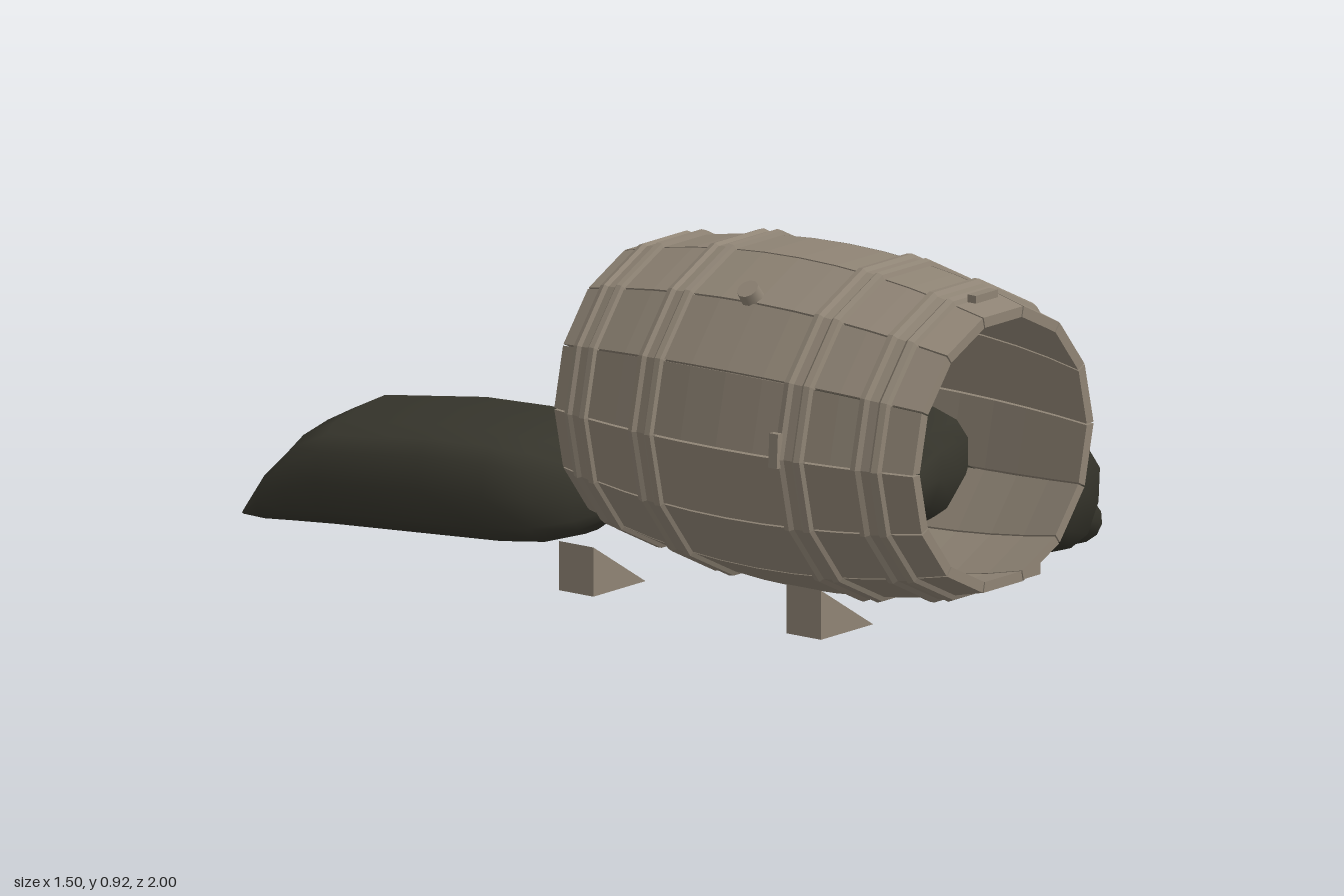
import * as THREE from 'three';

const wood = new THREE.MeshStandardMaterial({ color: 0x8f8475, side: THREE.DoubleSide });
wood.name = 'weathered wood';
const cloth = new THREE.MeshStandardMaterial({ color: 0x35342b });
cloth.name = 'dark sackcloth';

const SIDES = 14;
const AXIS_X = -0.33, AXIS_Y = 0.54, MID_Z = 0.48, HALF = 0.52;

// Outer barrel radius at a given z
const bulge = z => 0.395 - 0.066 * ((z - MID_Z) / HALF) ** 2;

function add(parent, name, geometry, material) {
  const mesh = new THREE.Mesh(geometry, material);
  mesh.name = name;
  parent.add(mesh);
  return mesh;
}

// Flat facets: every face gets its own normal
function faceted(geometry) {
  const g = geometry.index ? geometry.toNonIndexed() : geometry;
  g.computeVertexNormals();
  return g;
}

// Skin over a row of cross-sections, closed at both ends
function loft(rings) {
  const n = rings[0].length, pos = [], idx = [];
  rings.forEach(r => r.forEach(p => pos.push(...p)));
  for (let i = 0; i < rings.length - 1; i++)
    for (let j = 0; j < n; j++) {
      const a = i * n + j, b = i * n + (j + 1) % n;
      idx.push(a, a + n, b, b, a + n, b + n);
    }
  [0, rings.length - 1].forEach((r, end) => {
    const c = pos.length / 3;
    pos.push(...[0, 1, 2].map(k => rings[r].reduce((s, p) => s + p[k] / n, 0)));
    for (let j = 0; j < n; j++) {
      const a = r * n + j, b = r * n + (j + 1) % n;
      idx.push(c, end ? b : a, end ? a : b);
    }
  });
  const g = new THREE.BufferGeometry();
  g.setAttribute('position', new THREE.Float32BufferAttribute(pos, 3));
  g.setIndex(idx);
  g.computeVertexNormals();
  return g;
}

function makeBarrel() {
  const barrel = new THREE.Group();
  barrel.name = 'barrel';
  barrel.position.set(AXIS_X, AXIS_Y, 0);

  // Curved staves with thin gaps
  const half = Math.PI / SIDES - 0.006, rings = [];
  for (let i = 0; i <= 10; i++) {
    const z = MID_Z + HALF * (i / 5 - 1), r = bulge(z), q = r - 0.025;
    const s = Math.sin(half), c = Math.cos(half);
    rings.push([[-r * s, r * c, z], [r * s, r * c, z], [q * s, q * c, z], [-q * s, q * c, z]]);
  }
  const staveGeo = faceted(loft(rings));
  for (let k = 0; k < SIDES; k++)
    add(barrel, 'stave', staveGeo, wood).rotation.z = k * 2 * Math.PI / SIDES;

  // Hoops with a pair of ridges each
  const hoopProfile = [[-0.04, -0.004], [-0.034, 0.01], [-0.02, 0.013], [-0.011, 0.005],
    [0.011, 0.005], [0.02, 0.013], [0.034, 0.01], [0.04, -0.004]];
  for (const hz of [0.04, 0.255, 0.685, 0.885]) {
    const pts = hoopProfile.map(([dz, h]) => new THREE.Vector2(bulge(hz + dz) + h, hz + dz));
    const g = new THREE.LatheGeometry(pts, SIDES, Math.PI / 2);
    g.rotateX(Math.PI / 2);
    add(barrel, 'hoop', faceted(g), wood);
  }

  // Back head: horizontal planks, the front is open
  const w = y => Math.sqrt(0.33 ** 2 - y * y);
  const planks = [[-0.32, -0.29, -0.255], [-0.247, -0.19, -0.128], [-0.12, -0.07, -0.022],
    [-0.014, 0.04, 0.097]].map(ys => ys.map(y => [w(y), y]));
  planks.push([[0.31, 0.105], [0.222, 0.215], [0.085, 0.3]]);
  for (const side of planks) {
    const outline = [...side, ...side.map(([x, y]) => [-x, y]).reverse()];
    const shape = new THREE.Shape(outline.map(([x, y]) => new THREE.Vector2(x, y)));
    const g = new THREE.ExtrudeGeometry(shape, { depth: 0.02, bevelEnabled: false });
    add(barrel, 'headPlank', g, wood).position.z = 0.09;
  }

  // Hoop clips: [angle in degrees, z, radius]
  const clips = [[90, 0.94, 0.35], [-23, 0.89, 0.365], [177, 0.655, 0.397],
    [-5, 0.21, 0.388], [35, 0.05, 0.358], [30, -0.01, 0.338]];
  for (const [deg, z, r] of clips) {
    const a = deg * Math.PI / 180;
    const clip = add(barrel, 'hoopClip', new THREE.BoxGeometry(0.018, 0.08, 0.025), wood);
    clip.position.set(r * Math.cos(a), r * Math.sin(a), z);
    clip.rotation.z = a;
  }

  // Bung
  const a = 126 * Math.PI / 180;
  const bung = add(barrel, 'bung', new THREE.CylinderGeometry(0.026, 0.03, 0.06, 10), wood);
  bung.position.set(0.39 * Math.cos(a), 0.39 * Math.sin(a), 0.455);
  bung.rotation.z = a - Math.PI / 2;
  return barrel;
}

function makeSackGeometry() {
  // Sections: distance along, half width, bottom, top, squareness
  const sections = [
    [0, 0.235, 0.025, 0.045, 0.6], [0.04, 0.243, 0.005, 0.13, 0.6],
    [0.11, 0.247, 0, 0.21, 0.6], [0.19, 0.25, 0, 0.25, 0.6],
    [0.44, 0.252, 0, 0.27, 0.6], [0.6, 0.25, 0, 0.265, 0.6],
    [0.7, 0.222, 0.003, 0.25, 0.65], [0.78, 0.145, 0.02, 0.21, 0.75],
    [0.82, 0.06, 0.05, 0.14, 0.9], [0.838, 0.028, 0.07, 0.12, 1],
    [0.86, 0.045, 0.062, 0.125, 0.9], [0.895, 0.107, 0.035, 0.145, 0.9]];
  const pw = (v, e) => Math.sign(v) * Math.abs(v) ** e;
  return loft(sections.map(([x, hw, y0, y1, e]) =>
    Array.from({ length: 16 }, (_, j) => {
      const t = j / 16 * 2 * Math.PI;
      return [x, (y0 + y1) / 2 + (y1 - y0) / 2 * pw(Math.sin(t), e), hw * pw(Math.cos(t), e)];
    })));
}

export function createModel() {
  const model = new THREE.Group();
  model.name = 'barrelAndSacks';
  model.add(makeBarrel());

  // Sacks: one leaning through the barrel side, one lying behind
  const sackGeo = makeSackGeometry();
  const leaning = add(model, 'leaningSack', sackGeo, cloth);
  leaning.scale.setScalar(1.16);
  leaning.position.set(-0.282, 0.297, 0.365);
  leaning.rotation.set(0, 0.055, -0.315, 'YZX');
  const lying = add(model, 'lyingSack', sackGeo, cloth);
  lying.position.set(-0.514, 0.15, -0.94);
  lying.rotation.y = -1.314;

  // Wedge chocks, mirrored about the barrel axis
  for (const s of [-1, 1])
    for (const z of [0.03, 0.69]) {
      const pts = [[0.4, 0], [0.4, 0.115], [0.21, 0]].map(([x, y]) => new THREE.Vector2(s * x, y));
      const g = new THREE.ExtrudeGeometry(new THREE.Shape(pts), { depth: 0.1, bevelEnabled: false });
      add(model, 'wedge', g, wood).position.set(AXIS_X, 0.14, z);
    }
  return model;
}
